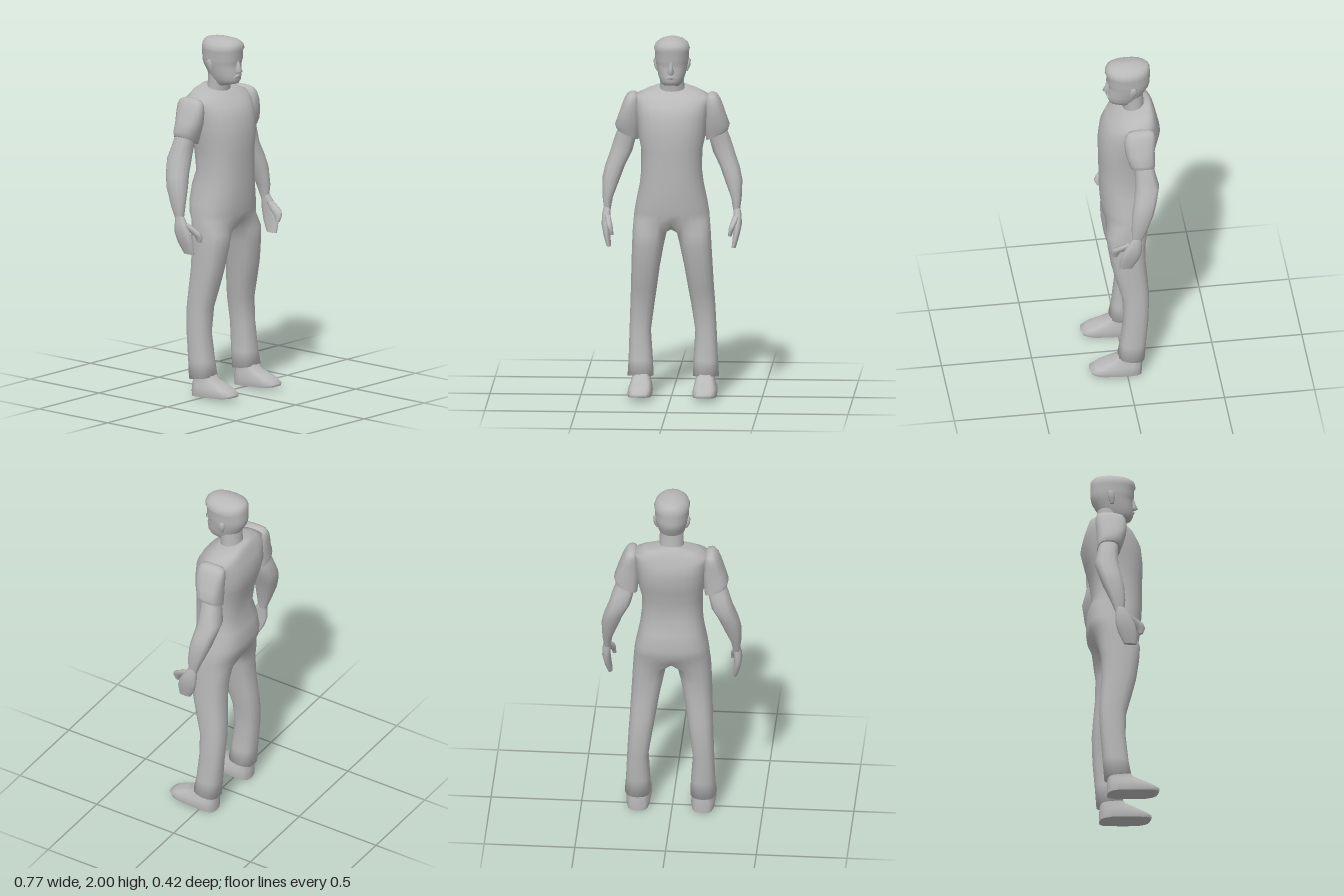
import * as THREE from 'three';
import { mergeGeometries, mergeVertices } from 'three/addons/utils/BufferGeometryUtils.js';

const grey = new THREE.MeshStandardMaterial({ color: 0xb8b8b8 });
grey.name = 'plain grey';

// Points of one ring: [y, xMin, xMax, zBack, zFront, frontRise, outerRise].
// Powers below 1 make the front or back half of the ring boxier.
function ringPoints([y, x0, x1, zb, zf, rise = 0, outerRise = 0], { sides = 16, front = 0.85, back = 0.75, mirror = 1, start = 0 }) {
  const pow = (v, k) => Math.sign(v) * Math.pow(Math.abs(v), k);
  return Array.from({ length: sides }, (_, j) => {
    const t = start + (j / sides) * Math.PI * 2, c = Math.cos(t), s = Math.sin(t);
    const k = c > 0 ? front : back;
    return new THREE.Vector3(
      mirror * (x0 + x1) / 2 + (x1 - x0) / 2 * pow(s, k),
      y + rise * c + outerRise * s * mirror,
      (zb + zf) / 2 + (zf - zb) / 2 * pow(c, k));
  });
}

// Skins rings of points from bottom to top; caps get their own vertices
function skin(rings, capBottom, capTop) {
  const points = rings.flat(), index = [], n = rings[0].length;
  for (let i = 0; i < rings.length - 1; i++) {
    for (let j = 0; j < n; j++) {
      const a = i * n + j, b = i * n + (j + 1) % n;
      index.push(a, b, b + n, a, b + n, a + n);
    }
  }
  const cap = (ring, top) => {
    const first = points.length;
    const centre = ring.reduce((sum, p) => sum.add(p), new THREE.Vector3()).divideScalar(n);
    points.push(...ring, centre);
    for (let j = 0; j < n; j++) {
      const a = first + j, b = first + (j + 1) % n;
      index.push(first + n, top ? a : b, top ? b : a);
    }
  };
  if (capBottom) cap(rings[0], false);
  if (capTop) cap(rings[rings.length - 1], true);
  const g = new THREE.BufferGeometry().setFromPoints(points);
  g.setIndex(index);
  g.computeVertexNormals();
  return g;
}

function named(name, geometry) {
  const mesh = new THREE.Mesh(geometry, grey);
  mesh.name = name;
  return mesh;
}

const loft = (name, rings, options = {}) =>
  named(name, skin(rings.map((r) => ringPoints(r, options)), true, true));

// Rings symmetric about x = 0: [y, halfWidth, zBack, zFront, frontRise]
const centred = (rings) => rings.map(([y, w, zb, zf, rise]) => [y, -w, w, zb, zf, rise]);

// Torso and trousers as one smooth skin that forks at the crotch
function bodyGeometry() {
  const torso = centred([
    [0.985, 0.21, -0.145, 0.107],
    [1.03, 0.206, -0.168, 0.114],
    [1.08, 0.198, -0.176, 0.121],
    [1.18, 0.177, -0.17, 0.127],
    [1.26, 0.168, -0.142, 0.127],
    [1.38, 0.168, -0.16, 0.13],
    [1.46, 0.186, -0.182, 0.132],
    [1.565, 0.195, -0.207, 0.12],
    [1.63, 0.202, -0.192, 0.085],
    [1.67, 0.207, -0.18, 0.035],
    [1.695, 0.15, -0.168, 0.02, -0.012],
    [1.715, 0.08, -0.15, 0.0, -0.016],
  ]).map((r) => ringPoints(r, { sides: 24, front: 0.9, back: 0.72 }));

  const legs = [
    [0.107, 0.108, 0.252, -0.1, 0.05, 0.012],
    [0.2, 0.112, 0.246, -0.108, 0.035],
    [0.36, 0.122, 0.24, -0.122, 0.018],
    [0.5, 0.102, 0.234, -0.128, 0.022],
    [0.6, 0.086, 0.229, -0.122, 0.05],
    [0.72, 0.068, 0.224, -0.112, 0.08],
    [0.84, 0.045, 0.219, -0.112, 0.098],
    [0.92, 0.027, 0.215, -0.125, 0.104],
  ].map((r) => ringPoints(r, { start: -Math.PI / 4, front: 0.8, back: 0.8 }));
  // Half of the torso's lowest ring, closed by an arc under the crotch
  const fork = [...torso[0].slice(0, 13),
    new THREE.Vector3(0, 0.945, -0.09), new THREE.Vector3(0, 0.93, -0.01), new THREE.Vector3(0, 0.942, 0.065)];
  const left = skin([...legs, fork], true, false);
  const right = left.clone().scale(-1, 1, 1);
  right.setIndex(Array.from(left.index.array).reverse());
  // The feet stand a little towards the left
  for (const g of [left, right]) {
    const p = g.attributes.position;
    for (let i = 0; i < p.count; i++) p.setX(i, p.getX(i) + 0.01 * Math.max(0, 0.9 - p.getY(i)));
  }
  const parts = [skin(torso, false, true), left, right];
  parts.forEach((g) => g.deleteAttribute('normal'));
  const body = mergeVertices(mergeGeometries(parts), 1e-4);
  body.computeVertexNormals();
  return body;
}

export function createModel() {
  const model = new THREE.Group();
  model.name = 'standing man';
  model.add(named('torsoAndTrousers', bodyGeometry()));

  model.add(loft('neck', centred([
    [1.66, 0.072, -0.13, -0.005],
    [1.74, 0.066, -0.12, 0.0],
    [1.81, 0.066, -0.118, 0.02],
  ]), { front: 1, back: 1 }));

  // Head, with the hairline standing slightly proud of the brow
  const head = new THREE.Group();
  head.name = 'head';
  head.add(loft('skull', centred([
    [1.73, 0.04, -0.08, 0.03, 0.01],
    [1.75, 0.056, -0.09, 0.07],
    [1.77, 0.066, -0.105, 0.08],
    [1.8, 0.076, -0.122, 0.081],
    [1.84, 0.085, -0.146, 0.077],
    [1.865, 0.09, -0.154, 0.077],
    [1.885, 0.093, -0.156, 0.086],
    [1.93, 0.095, -0.156, 0.085],
    [1.943, 0.099, -0.156, 0.094],
    [1.968, 0.09, -0.154, 0.088],
    [1.985, 0.068, -0.142, 0.07],
    [1.996, 0.036, -0.1, 0.035],
    [2.0, 0.01, -0.04, -0.01],
  ]), { sides: 20, front: 0.9, back: 0.95 }));
  head.add(loft('nose', centred([
    [1.808, 0.012, 0.05, 0.085],
    [1.82, 0.019, 0.05, 0.108],
    [1.85, 0.012, 0.05, 0.094],
    [1.882, 0.01, 0.05, 0.084],
  ]), { sides: 8, front: 1 }));
  head.add(loft('moustache', centred([
    [1.783, 0.036, 0.05, 0.081],
    [1.794, 0.028, 0.05, 0.089],
    [1.806, 0.012, 0.05, 0.084],
  ]), { sides: 10 }));
  for (const mirror of [1, -1]) {
    head.add(loft('ear', [
      [1.81, 0.072, 0.086, -0.055, -0.035],
      [1.84, 0.076, 0.1, -0.068, -0.03],
      [1.87, 0.08, 0.103, -0.072, -0.035],
      [1.882, 0.08, 0.096, -0.062, -0.042],
    ], { sides: 8, mirror }));
  }
  model.add(head);

  for (const mirror of [1, -1]) {
    const side = mirror > 0 ? 'left' : 'right';
    const shiftX = 0.009;

    const shoe = loft(side + 'Shoe', [
      [0.012, 0.114, 0.243, -0.085, 0.2, 0.012],
      [0.035, 0.11, 0.247, -0.085, 0.208, 0.005],
      [0.06, 0.114, 0.242, -0.085, 0.175],
      [0.085, 0.12, 0.232, -0.082, 0.115],
      [0.105, 0.125, 0.228, -0.08, 0.06],
      [0.15, 0.13, 0.225, -0.08, 0.035],
    ], { mirror, front: 0.62, back: 0.6 });
    shoe.position.x = shiftX;
    model.add(shoe);

    // Arm with a short sleeve whose hem slopes down towards the body
    const arm = new THREE.Group();
    arm.name = side + 'Arm';
    arm.add(loft('sleeve', [
      [1.45, 0.186, 0.308, -0.148, -0.018, 0, 0.03],
      [1.485, 0.18, 0.316, -0.15, -0.005, 0, 0.022],
      [1.55, 0.175, 0.298, -0.15, 0.013, 0, 0.008],
      [1.61, 0.178, 0.28, -0.154, 0.018],
      [1.65, 0.182, 0.264, -0.154, 0.012],
      [1.672, 0.188, 0.25, -0.146, -0.002],
      [1.682, 0.202, 0.236, -0.125, -0.03],
      [1.684, 0.215, 0.225, -0.09, -0.06],
    ], { sides: 14, mirror }));
    arm.add(loft('forearm', [
      [1.03, 0.338, 0.373, -0.062, -0.012],
      [1.1, 0.326, 0.383, -0.09, -0.005],
      [1.2, 0.288, 0.386, -0.13, -0.01],
      [1.27, 0.262, 0.371, -0.15, -0.022],
      [1.35, 0.222, 0.343, -0.168, -0.035],
      [1.42, 0.204, 0.322, -0.15, -0.035],
      [1.49, 0.2, 0.296, -0.138, -0.03],
    ], { sides: 12, mirror }));
    arm.add(loft('hand', [
      [0.84, 0.332, 0.356, -0.012, 0.06],
      [0.9, 0.338, 0.374, -0.045, 0.062],
      [0.96, 0.342, 0.386, -0.062, 0.045],
      [1.01, 0.338, 0.384, -0.06, 0.015],
      [1.05, 0.338, 0.376, -0.06, -0.012],
    ], { sides: 10, mirror }));
    arm.add(loft('thumb', [
      [0.912, 0.316, 0.336, 0.07, 0.094],
      [0.945, 0.317, 0.345, 0.055, 0.108],
      [0.972, 0.324, 0.358, 0.015, 0.095],
      [1.01, 0.338, 0.37, -0.02, 0.025],
    ], { sides: 8, mirror }));
    model.add(arm);
  }
  return model;
}
